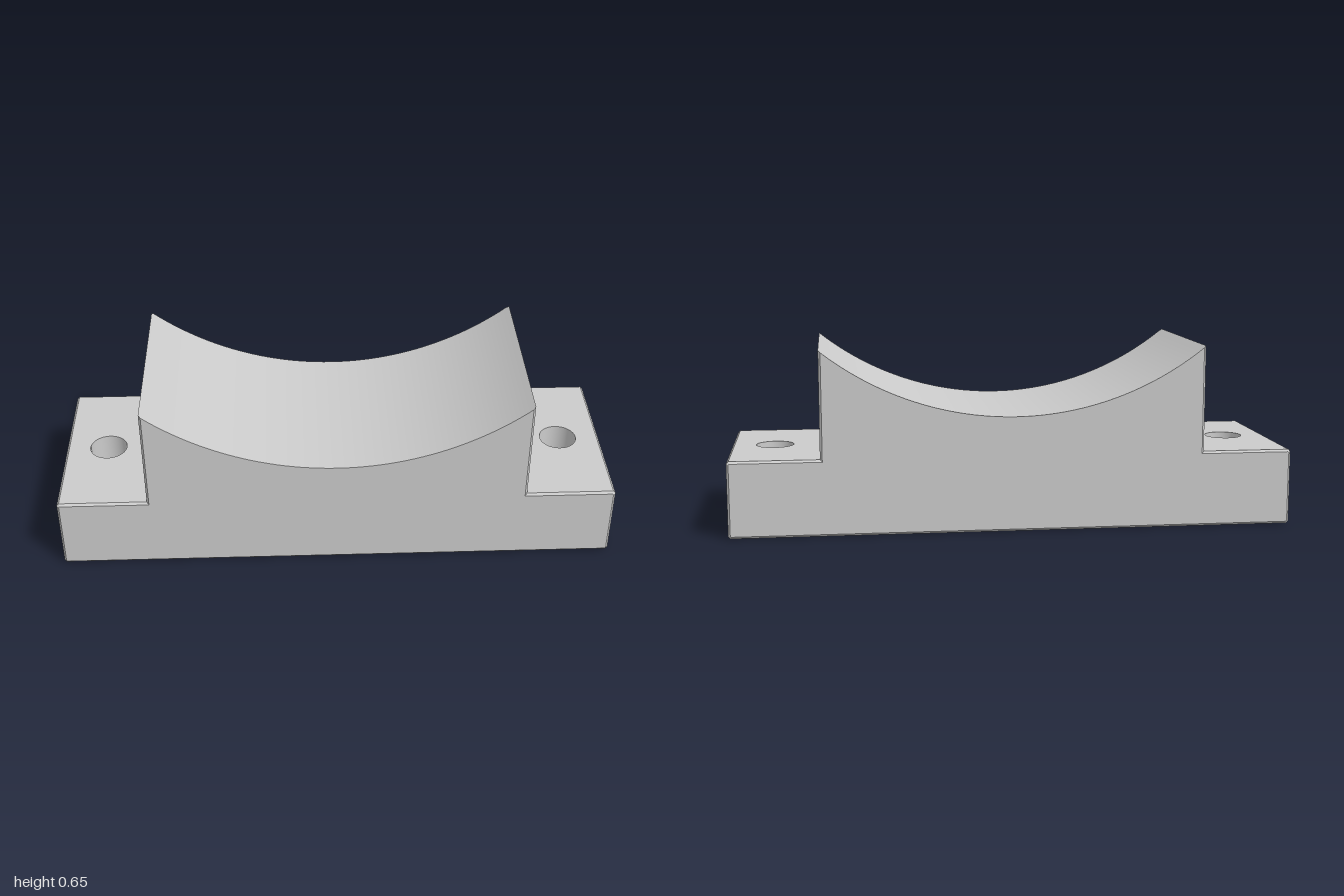
import * as THREE from 'three';
import { mergeGeometries, toCreasedNormals } from 'three/addons/utils/BufferGeometryUtils.js';

const C = 0.008;            // edge chamfer
const HALF_D = 0.34;        // half depth
const WALL = 0.68;          // half width of the saddle
const SHOULDER = 0.272;     // height of the mounting ears
const TOP = 0.65, DIP = 0.41;
const RISE = TOP - DIP;
const R = (WALL * WALL + RISE * RISE) / (2 * RISE); // cradle radius
const HOLE_X = 0.845, HOLE_R = 0.068, ARC_STEPS = 48;

// Counter-clockwise outline, pulled in by d everywhere except on the cradle
function profile(d) {
  const k = d * Math.tan(Math.PI / 8);
  const right = [
    [1 - C - k, d], [1 - d, C + k], [1 - d, SHOULDER - C - k],
    [1 - C - k, SHOULDER - d], [WALL - d, SHOULDER - d],
  ];
  const a = Math.asin((WALL - d) / R);
  const arc = [];
  for (let i = 0; i <= ARC_STEPS; i++) {
    const t = a * (1 - (2 * i) / ARC_STEPS);
    arc.push([R * Math.sin(t), DIP + R - R * Math.cos(t)]);
  }
  const left = right.map(([x, y]) => [-x, y]).reverse();
  return [...right, ...arc, ...left].map(([x, y]) => new THREE.Vector2(x, y));
}

// Flat panel with round holes, lying in the xy plane
function panel(x0, x1, halfDepth, holes) {
  const shape = new THREE.Shape([
    new THREE.Vector2(x0, -halfDepth), new THREE.Vector2(x1, -halfDepth),
    new THREE.Vector2(x1, halfDepth), new THREE.Vector2(x0, halfDepth),
  ]);
  for (const x of holes) shape.holes.push(new THREE.Path().absarc(x, 0, HOLE_R, 0, Math.PI * 2, true));
  return new THREE.ShapeGeometry(shape, 24);
}

export function createModel() {
  const full = profile(0), inset = profile(C);
  const n = full.length;
  const sections = [
    [inset, -HALF_D], [full, -HALF_D + C], [full, HALF_D - C], [inset, HALF_D],
  ];

  // Skin around the outline; the drilled faces are left open along the middle
  const drilled = [3, n - 5, n - 1];
  const pos = [];
  for (let s = 0; s < 3; s++) {
    const [p, z0] = sections[s], [q, z1] = sections[s + 1];
    for (let i = 0; i < n; i++) {
      if (s === 1 && drilled.includes(i)) continue;
      const j = (i + 1) % n;
      const a = [p[i].x, p[i].y, z0], b = [p[j].x, p[j].y, z0];
      const c = [q[j].x, q[j].y, z1], d = [q[i].x, q[i].y, z1];
      pos.push(...a, ...b, ...c, ...a, ...c, ...d);
    }
  }
  const skin = new THREE.BufferGeometry();
  skin.setAttribute('position', new THREE.Float32BufferAttribute(pos, 3));
  const parts = [skin];

  // Front and back faces
  const face = new THREE.ShapeGeometry(new THREE.Shape(inset)).translate(0, 0, HALF_D);
  parts.push(face, face.clone().rotateY(Math.PI));

  // Underside with both bolt holes
  parts.push(panel(-1 + C, 1 - C, HALF_D - C, [-HOLE_X, HOLE_X]).rotateX(Math.PI / 2));

  // Ear tops and bolt hole walls
  for (const s of [-1, 1]) {
    const x0 = s > 0 ? WALL : -1 + C, x1 = s > 0 ? 1 - C : -WALL;
    parts.push(panel(x0, x1, HALF_D - C, [s * HOLE_X]).rotateX(-Math.PI / 2).translate(0, SHOULDER, 0));
    // mirrored so the wall faces the inside of the hole
    parts.push(new THREE.CylinderGeometry(HOLE_R, HOLE_R, SHOULDER, 48, 1, true)
      .scale(-1, 1, 1).translate(s * HOLE_X, SHOULDER / 2, 0));
  }

  const merged = mergeGeometries(parts.map((g) => {
    const flat = g.index ? g.toNonIndexed() : g;
    flat.deleteAttribute('uv');
    flat.deleteAttribute('normal');
    return flat;
  }));
  const block = new THREE.Mesh(
    toCreasedNormals(merged, 0.35),
    new THREE.MeshStandardMaterial({ color: 0xcccccc }),
  );
  block.name = 'saddleBlock';

  const group = new THREE.Group();
  group.name = 'cradleMount';
  group.add(block);
  return group;
}
